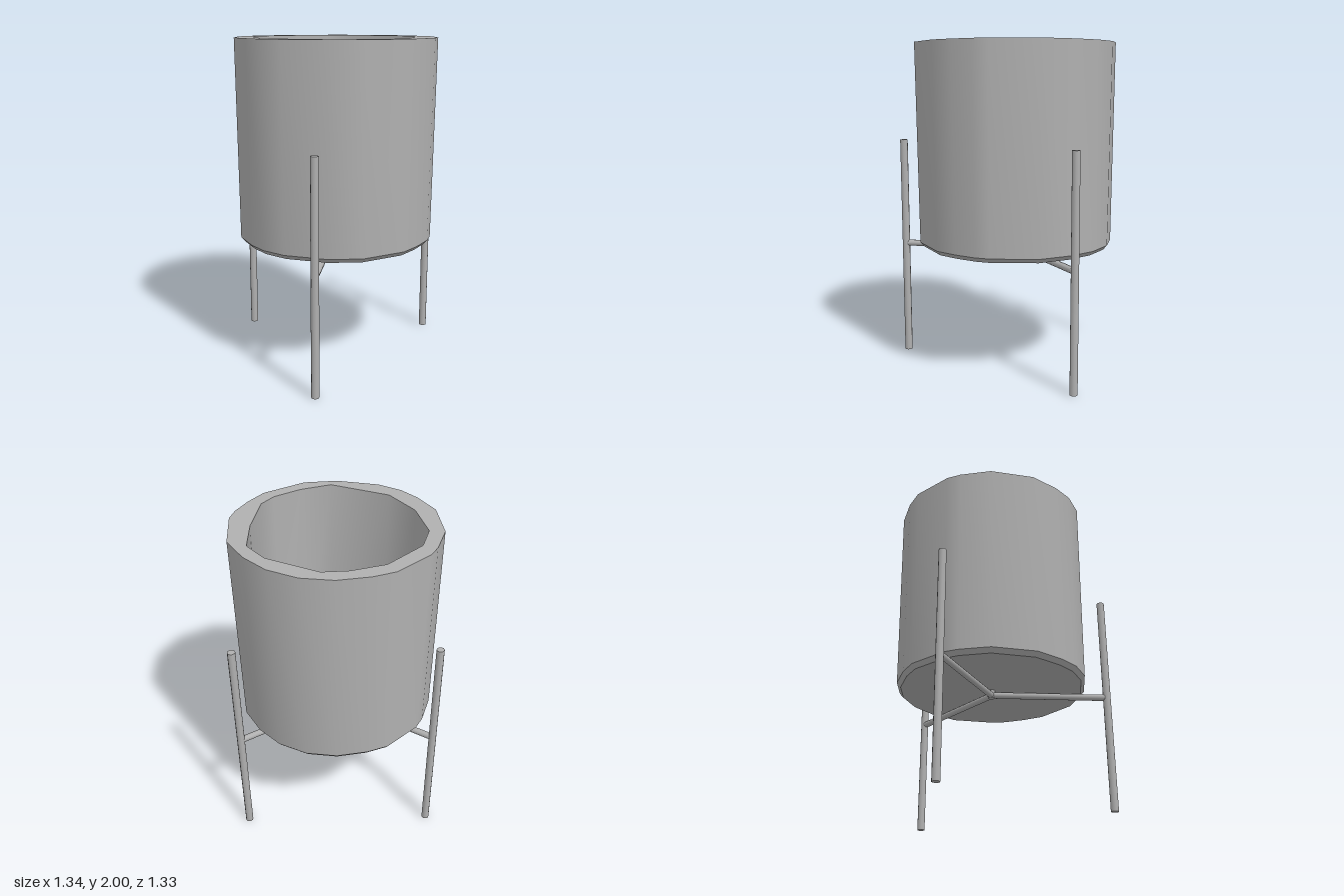
import * as THREE from 'three';

// Slightly irregular plan outlines [x, z], both clockwise seen from above
const OUTER = [[-0.07, -0.55], [0.02, -0.555], [0.27, -0.49], [0.38, -0.41], [0.51, -0.27], [0.59, -0.1],
  [0.61, 0.09], [0.57, 0.27], [0.48, 0.45], [0.25, 0.62], [0.16, 0.65], [0.02, 0.665], [-0.13, 0.66],
  [-0.39, 0.54], [-0.52, 0.38], [-0.61, 0.13], [-0.61, -0.03], [-0.57, -0.16], [-0.48, -0.33], [-0.26, -0.5]];
const INNER = [[-0.05, -0.47], [0.23, -0.41], [0.39, -0.28], [0.48, -0.16], [0.515, 0.17], [0.46, 0.33],
  [0.26, 0.46], [0, 0.58], [-0.12, 0.575], [-0.29, 0.5], [-0.45, 0.38], [-0.51, 0], [-0.41, -0.23], [-0.22, -0.42]];
const CZ = 0.055; // pot centre

// Smooth band through [y, scale] rings of an outline; inward flips the faces
function band(outline, rings, inward = false) {
  const pos = [], idx = [], n = outline.length;
  for (const [y, s] of rings) {
    for (const [x, z] of outline) pos.push(x * s, y, CZ + (z - CZ) * s);
  }
  for (let r = 0; r < rings.length - 1; r++) {
    for (let i = 0; i < n; i++) {
      const a = r * n + i, b = r * n + (i + 1) % n, c = a + n, d = b + n;
      if (inward) idx.push(a, b, d, a, d, c);
      else idx.push(a, d, b, a, c, d);
    }
  }
  const g = new THREE.BufferGeometry();
  g.setAttribute('position', new THREE.Float32BufferAttribute(pos, 3));
  g.setIndex(idx);
  g.computeVertexNormals();
  return g;
}

// Horizontal plate bounded by an outline, with an optional hole
function plate(outline, hole) {
  const pts = o => o.map(([x, z]) => new THREE.Vector2(x, -z));
  const shape = new THREE.Shape(pts(outline));
  if (hole) shape.holes.push(new THREE.Path(pts(hole)));
  return new THREE.ShapeGeometry(shape).rotateX(-Math.PI / 2);
}

// Round rod between two points
function rod(a, b, r) {
  const d = b.clone().sub(a);
  const g = new THREE.CylinderGeometry(r, r, d.length(), 10);
  g.applyQuaternion(new THREE.Quaternion().setFromUnitVectors(new THREE.Vector3(0, 1, 0), d.normalize()));
  const m = a.clone().add(b).multiplyScalar(0.5);
  return g.translate(m.x, m.y, m.z);
}

export function createModel() {
  const model = new THREE.Group();
  model.name = 'planter';
  const grey = new THREE.MeshStandardMaterial({ color: 0xb0b0b0, side: THREE.DoubleSide });
  grey.name = 'grey';
  const add = (parent, name, geometry) => {
    const mesh = new THREE.Mesh(geometry, grey);
    mesh.name = name;
    parent.add(mesh);
  };

  // Pot
  const pot = new THREE.Group();
  pot.name = 'pot';
  model.add(pot);
  add(pot, 'outerWall', band(OUTER, [[0.785, 0.98], [2, 1]]));
  add(pot, 'bottomBevel', band(OUTER, [[0.757, 0.94], [0.785, 0.98]]));
  const base = OUTER.map(([x, z]) => [x * 0.94, CZ + (z - CZ) * 0.94]);
  add(pot, 'bottom', plate(base).scale(1, -1, 1).translate(0, 0.757, 0));
  add(pot, 'rim', plate(OUTER, INNER).translate(0, 2, 0));
  add(pot, 'innerWall', band(INNER, [[0.82, 0.99], [2, 1]], true));
  // Inner floor, rising slightly to the centre
  add(pot, 'innerFloor', band(INNER, [[0.82, 0.99], [0.9, 0.001]]));

  // Stand: three upright legs joined by a three-armed brace under the pot
  const stand = new THREE.Group();
  stand.name = 'stand';
  model.add(stand);
  const hub = new THREE.Vector3(-0.01, 0.725, 0.045);
  for (const [name, x, z] of [['backLeg', -0.012, -0.645], ['leftLeg', 0.647, 0.353], ['rightLeg', -0.652, 0.393]]) {
    add(stand, name, rod(new THREE.Vector3(x, 0, z), new THREE.Vector3(x, 1.4, z), 0.024));
    add(stand, name + 'Brace', rod(hub, new THREE.Vector3(x, 0.725, z), 0.02));
  }
  add(stand, 'braceHub', new THREE.CylinderGeometry(0.02, 0.02, 0.055, 10).translate(hub.x, 0.733, hub.z));
  return model;
}
